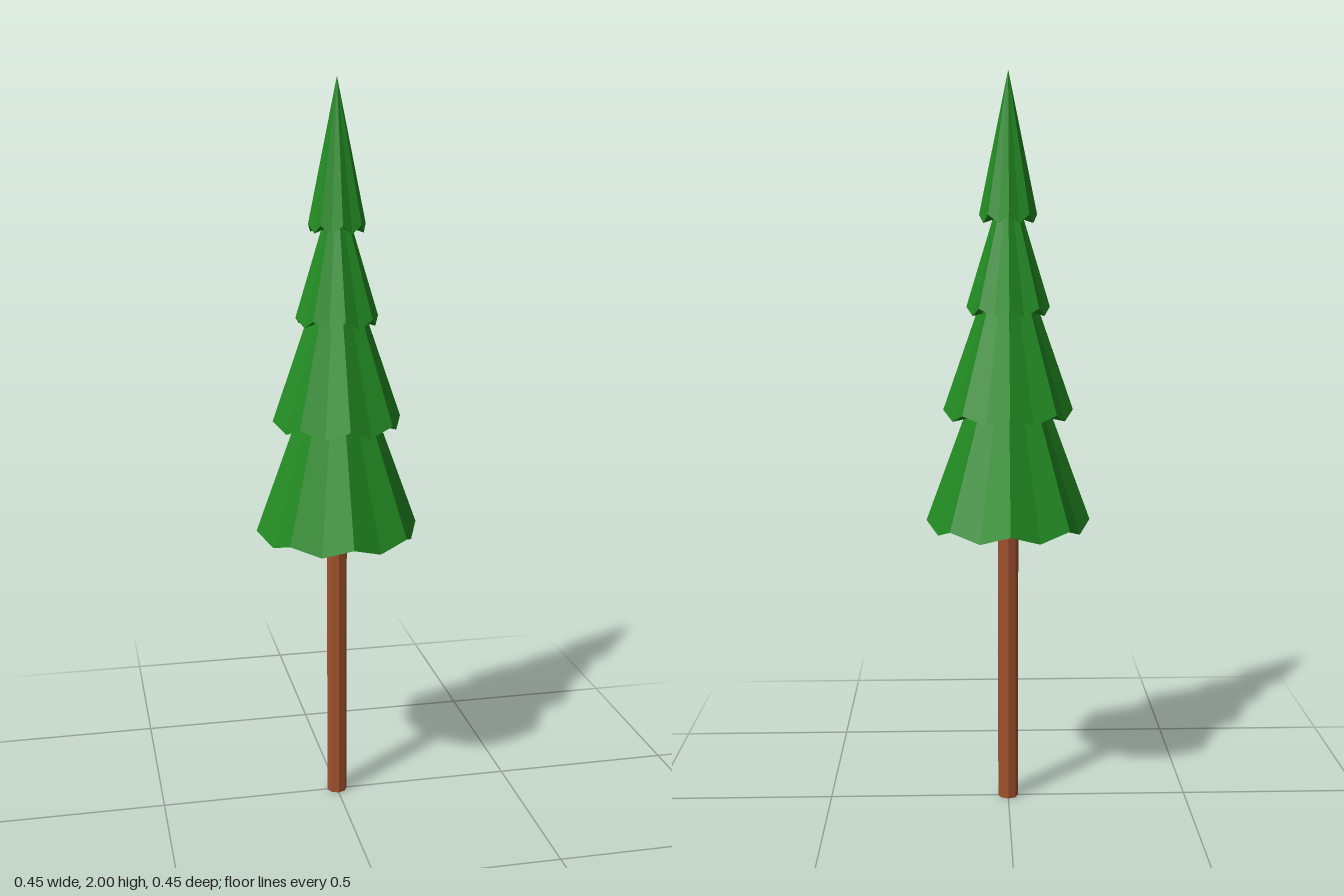
import * as THREE from 'three';

const SIDES = 8;
const green = new THREE.MeshStandardMaterial({ color: 0x228b22, flatShading: true });
const brown = new THREE.MeshStandardMaterial({ color: 0xa0522d, flatShading: true });

// Eight-sided cone whose rim dips at the middle of every side, closed underneath
function foliageTier(radius, y, apexY, dip) {
  const rim = [];
  for (let i = 0; i < SIDES * 2; i++) {
    const a = (i * Math.PI) / SIDES;
    const middle = i % 2 === 1;
    const r = middle ? radius * Math.cos(Math.PI / SIDES) : radius;
    rim.push([Math.sin(a) * r, middle ? y - dip : y, Math.cos(a) * r]);
  }
  const positions = [];
  rim.forEach((p, i) => {
    const q = rim[(i + 1) % rim.length];
    positions.push(...p, ...q, 0, apexY, 0); // sloping side
    positions.push(...q, ...p, 0, y, 0); // underside
  });
  const geometry = new THREE.BufferGeometry();
  geometry.setAttribute('position', new THREE.Float32BufferAttribute(positions, 3));
  geometry.computeVertexNormals();
  return new THREE.Mesh(geometry, green);
}

export function createModel() {
  const tree = new THREE.Group();
  tree.name = 'pineTree';

  // Slim trunk reaching into the lowest tier
  const trunk = new THREE.Mesh(new THREE.CylinderGeometry(0.028, 0.028, 0.82, SIDES), brown);
  trunk.position.y = 0.41;
  trunk.name = 'trunk';
  tree.add(trunk);

  // Stacked foliage: radius, rim height, apex height, dip of the rim
  const tiers = [
    [0.224, 0.8, 1.41, 0.026],
    [0.176, 1.105, 1.61, 0.024],
    [0.112, 1.383, 1.75, 0.022],
    [0.077, 1.627, 2.0, 0.022],
  ];
  tiers.forEach((t, i) => {
    const tier = foliageTier(...t);
    tier.name = `foliageTier${i + 1}`;
    tree.add(tier);
  });
  return tree;
}
